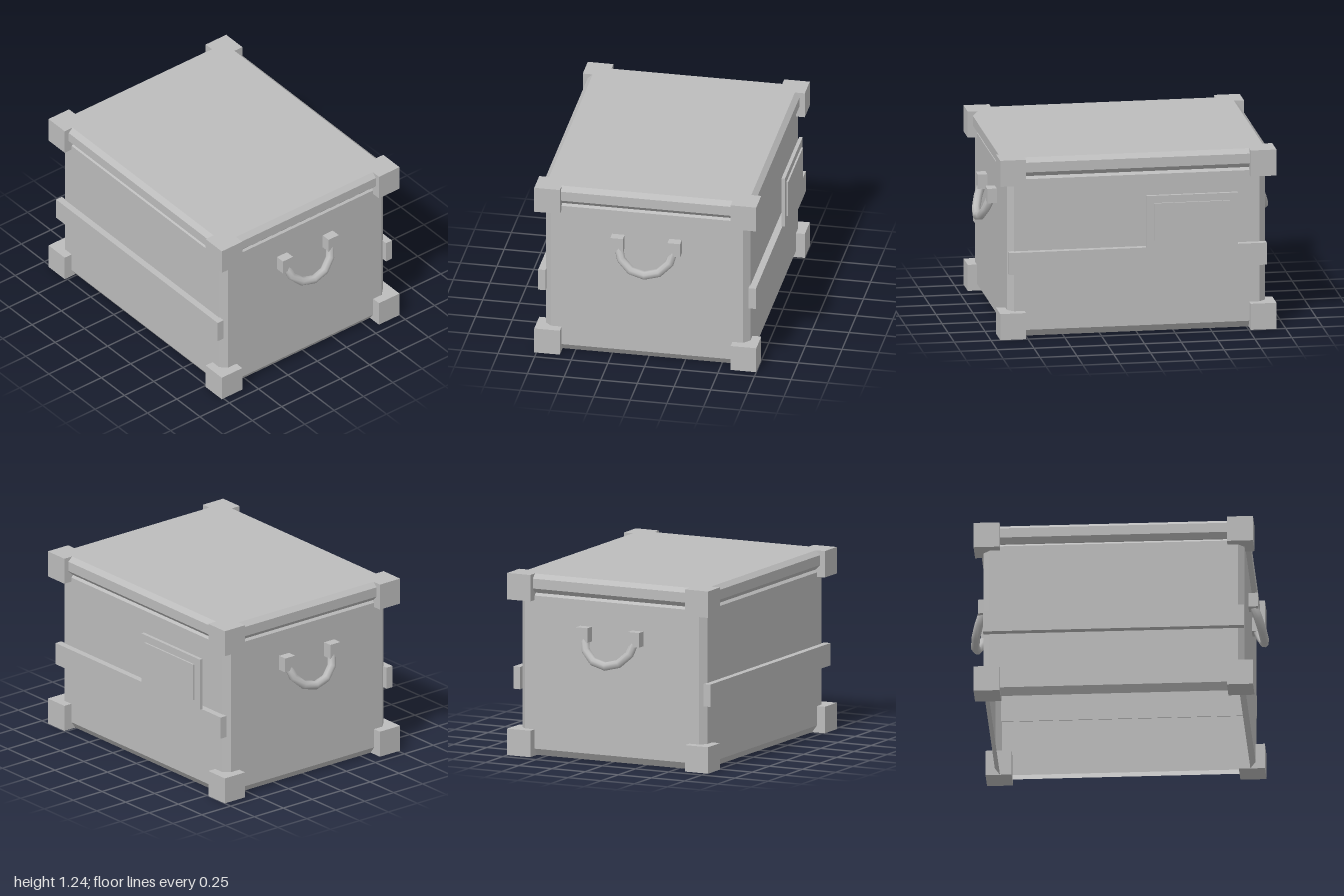
import * as THREE from 'three';

const grey = new THREE.MeshStandardMaterial({ color: 0xbcbcbc, side: THREE.DoubleSide });
grey.name = 'plain grey';

// Rectangle with cut corners, half sizes hx and hz, cut c
function outline(hx, hz, c) {
  return [
    [hx, -hz + c], [hx, hz - c], [hx - c, hz], [-hx + c, hz],
    [-hx, hz - c], [-hx, -hz + c], [-hx + c, -hz], [hx - c, -hz],
  ];
}

// Flat-faced shell through rings of [y, inset]
function shell(hx, hz, cut, levels, capTop) {
  const rings = levels.map(([y, inset]) =>
    outline(hx - inset, hz - inset, cut).map(([x, z]) => [x, y, z]));
  const pos = [];
  for (let r = 0; r < rings.length - 1; r++) {
    for (let i = 0; i < 8; i++) {
      const j = (i + 1) % 8;
      const [a, b, c, d] = [rings[r][i], rings[r][j], rings[r + 1][j], rings[r + 1][i]];
      pos.push(...a, ...d, ...c, ...a, ...c, ...b);
    }
  }
  if (capTop) {
    const top = rings[rings.length - 1];
    for (let i = 0; i < 8; i++) pos.push(0, top[0][1], 0, ...top[(i + 1) % 8], ...top[i]);
  }
  const g = new THREE.BufferGeometry();
  g.setAttribute('position', new THREE.Float32BufferAttribute(pos, 3));
  g.computeVertexNormals();
  return g;
}

export function createModel() {
  const model = new THREE.Group();
  model.name = 'crate';
  const crate = new THREE.Group();
  crate.name = 'crateParts';
  crate.position.z = 0.0075;
  model.add(crate);

  const add = (name, geometry, parent = crate) => {
    const mesh = new THREE.Mesh(geometry, grey);
    mesh.name = name;
    parent.add(mesh);
    return mesh;
  };
  // Box given by its limits on each axis
  const box = (name, x0, x1, y0, y1, z0, z1, parent) => {
    const mesh = add(name, new THREE.BoxGeometry(x1 - x0, y1 - y0, z1 - z0), parent);
    mesh.position.set((x0 + x1) / 2, (y0 + y1) / 2, (z0 + z1) / 2);
    return mesh;
  };

  // Walls, open underneath, and bevelled lid
  add('walls', shell(0.875, 0.6975, 0.042,
    [[0, 0.035], [0.048, 0], [1.09, 0], [1.11, 0.02]], false));
  add('lid', shell(0.903, 0.723, 0.042,
    [[1.11, 0.033], [1.143, 0], [1.21, 0], [1.24, 0.033]], true));

  // Eight corner blocks
  for (const sx of [-1, 1]) {
    for (const sz of [-1, 1]) {
      for (const y of [0.09, 1.15]) {
        const block = add('cornerBlock', new THREE.BoxGeometry(0.175, 0.18, 0.175));
        block.position.set(sx * 0.85, y, sz * 0.67);
      }
    }
  }

  // Front and back rails
  box('frontRail', -0.875, 0.875, 0.443, 0.595, 0.692, 0.7425);
  box('backRail', -0.875, 0.875, 0.443, 0.595, -0.7425, -0.692);

  // Stepped plate on the back, standing off the wall
  box('backPlate', -0.675, -0.055, 0.595, 0.955, -0.76, -0.736);
  box('backPlatePanel', -0.62, -0.105, 0.65, 0.905, -0.7725, -0.76);

  // Drop handles: two mounts and a tilted half ring on each side
  for (const s of [-1, 1]) {
    const handle = new THREE.Group();
    handle.name = s > 0 ? 'leftHandle' : 'rightHandle';
    crate.add(handle);
    for (const sz of [-1, 1]) {
      const mount = add('handleMount', new THREE.BoxGeometry(0.07, 0.1, 0.086), handle);
      mount.position.set(s * 0.905, 0.864, sz * 0.195);
    }
    const ring = new THREE.TorusGeometry(0.19, 0.03, 8, 6, Math.PI);
    ring.rotateX(Math.PI).rotateY(Math.PI / 2).rotateZ(s * 0.36);
    add('handleGrip', ring, handle).position.set(s * 0.904, 0.85, 0);
  }
  return model;
}
